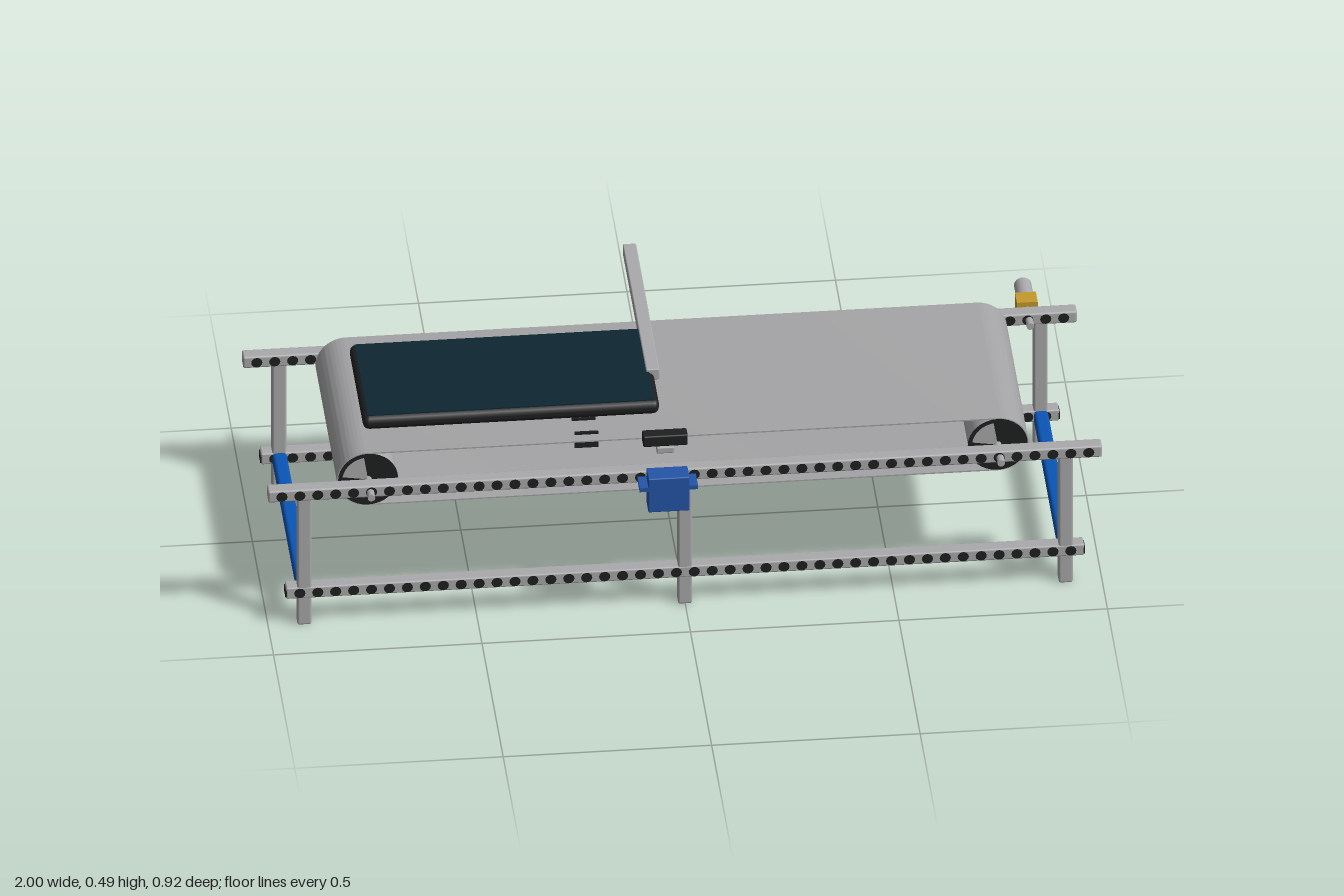
import * as THREE from 'three';
import { mergeGeometries, toCreasedNormals } from 'three/addons/utils/BufferGeometryUtils.js';
import { RoundedBoxGeometry } from 'three/addons/geometries/RoundedBoxGeometry.js';

const material = (name, color) => {
  const m = new THREE.MeshStandardMaterial({ color });
  m.name = name;
  return m;
};

export function createModel() {
  const model = new THREE.Group();
  model.name = 'conveyor';
  const metal = material('metal grey', 0xaaaaac);
  const beltGrey = material('belt grey', 0xa4a4a6);
  const black = material('black', 0x1e1f20);
  const barBlue = material('bar blue', 0x0a55b5);
  const servoBlue = material('servo blue', 0x2455a8);
  const yellow = material('gearbox yellow', 0xc49a2a);
  const teal = material('screen teal', 0x0e2733);

  const add = (name, geometry, mat, x = 0, y = 0, z = 0) => {
    const mesh = new THREE.Mesh(geometry, mat);
    mesh.name = name;
    mesh.position.set(x, y, z);
    model.add(mesh);
    return mesh;
  };
  // Box given by its minimum and maximum along each axis
  const box = (name, mat, [x0, x1], [y0, y1], [z0, z1], r = 0) => {
    const s = [x1 - x0, y1 - y0, z1 - z0];
    const g = r ? new RoundedBoxGeometry(...s, 2, r) : new THREE.BoxGeometry(...s);
    return add(name, g, mat, (x0 + x1) / 2, (y0 + y1) / 2, (z0 + z1) / 2);
  };
  // Cylinder lying along z
  const rod = (name, mat, r, x, y, z0, z1, sides = 24) =>
    add(name, new THREE.CylinderGeometry(r, r, z1 - z0, sides).rotateX(Math.PI / 2), mat, x, y, (z0 + z1) / 2);

  // Perforated rails with rows of dark holes on both faces
  const holes = (halfLength, y, z) => {
    const discs = [];
    const count = Math.floor((2 * halfLength) / 0.043);
    for (let i = 0; i < count; i++) {
      const x = (i - (count - 1) / 2) * 0.043;
      discs.push(new THREE.CircleGeometry(0.0135, 12).translate(x, 0, 0.0185));
      discs.push(new THREE.CircleGeometry(0.0135, 12).rotateY(Math.PI).translate(x, 0, -0.0185));
    }
    add('railHoles', mergeGeometries(discs), black, 0, y, z);
  };
  for (const z of [0.36, -0.233]) {
    box('upperRail', metal, [-1, 1], [0.352, 0.384], [z - 0.018, z + 0.018], 0.005);
    box('lowerRail', metal, [-0.957, 0.957], [0.076, 0.107], [z - 0.018, z + 0.018], 0.004);
    holes(0.995, 0.368, z);
    holes(0.95, 0.0915, z);
    for (const s of [-1, 1])
      box('lowerRailEnd', black, [s * 0.957 - 0.002, s * 0.957 + 0.002], [0.081, 0.098], [z - 0.017, z + 0.017]);
    for (const x of [-0.913, 0, 0.913])
      box('leg', metal, [x - 0.017, x + 0.017], [0, 0.375], [z - 0.017, z + 0.017], 0.005);
  }
  for (const x of [-0.913, 0.913])
    box('crossBar', barBlue, [x - 0.017, x + 0.017], [0.074, 0.11], [-0.216, 0.343], 0.008);

  // Belt: a thin hollow loop around two rollers
  const loop = (path, r) => {
    path.moveTo(-0.755, -r);
    path.lineTo(0.755, -r);
    path.absarc(0.755, 0, r, -Math.PI / 2, Math.PI / 2, false);
    path.lineTo(-0.755, r);
    path.absarc(-0.755, 0, r, Math.PI / 2, Math.PI * 1.5, false);
    return path;
  };
  const beltShape = loop(new THREE.Shape(), 0.074);
  beltShape.holes.push(loop(new THREE.Path(), 0.0705));
  const beltGeometry = new THREE.ExtrudeGeometry(beltShape, { depth: 0.51, bevelEnabled: false, curveSegments: 24 });
  add('belt', toCreasedNormals(beltGeometry, 0.6), beltGrey, 0, 0.368, -0.19);

  for (const x of [-0.755, 0.755]) {
    rod('roller', metal, 0.07, x, 0.368, -0.188, 0.318, 32);
    rod('axle', metal, 0.009, x, 0.368, -0.285, 0.405, 16);
    // Dark end caps with a lighter wedge
    for (const [z, turn] of [[0.3205, 0], [-0.1905, Math.PI]]) {
      add('rollerCap', new THREE.CircleGeometry(0.072, 32).rotateY(turn), black, x, 0.368, z);
      const wedge = new THREE.CircleGeometry(0.062, 10, Math.PI * 0.55, Math.PI * 0.4).rotateY(turn);
      add('capWedge', wedge, metal, x, 0.368, z + (turn ? -0.001 : 0.001));
    }
  }

  // Drive motor at the rear
  rod('motorShaft', metal, 0.009, 0.885, 0.368, -0.262, -0.185, 16);
  box('gearbox', yellow, [0.86, 0.91], [0.346, 0.389], [-0.305, -0.26]);
  rod('motorCan', metal, 0.021, 0.885, 0.368, -0.37, -0.305);

  // Servo with mounting flange
  box('servoBody', servoBlue, [-0.097, 0.002], [0.32, 0.415], [0.41, 0.462], 0.003);
  box('servoFlange', servoBlue, [-0.118, 0.022], [0.38, 0.391], [0.41, 0.462]);

  // Horn block on its collar
  box('hornBlock', black, [-0.102, 0.005], [0.459, 0.489], [0.357, 0.39], 0.004);
  box('hornCollar', metal, [-0.07, -0.028], [0.443, 0.46], [0.352, 0.396], 0.003);

  // Small sensor plates at the belt edge
  box('sensorPlate', black, [-0.257, -0.2], [0.405, 0.449], [0.287, 0.292]);
  box('sensorPlate', black, [-0.257, -0.2], [0.43, 0.449], [0.226, 0.23]);

  // Flat panel with dark screen, and the diverter arm across the belt
  box('panel', black, [-0.757, -0.046], [0.443, 0.48], [-0.108, 0.228], 0.016);
  box('screen', teal, [-0.745, -0.058], [0.478, 0.482], [-0.096, 0.216]);
  box('diverterArm', metal, [-0.065, -0.033], [0.459, 0.489], [-0.46, 0.096], 0.003);

  return model;
}
